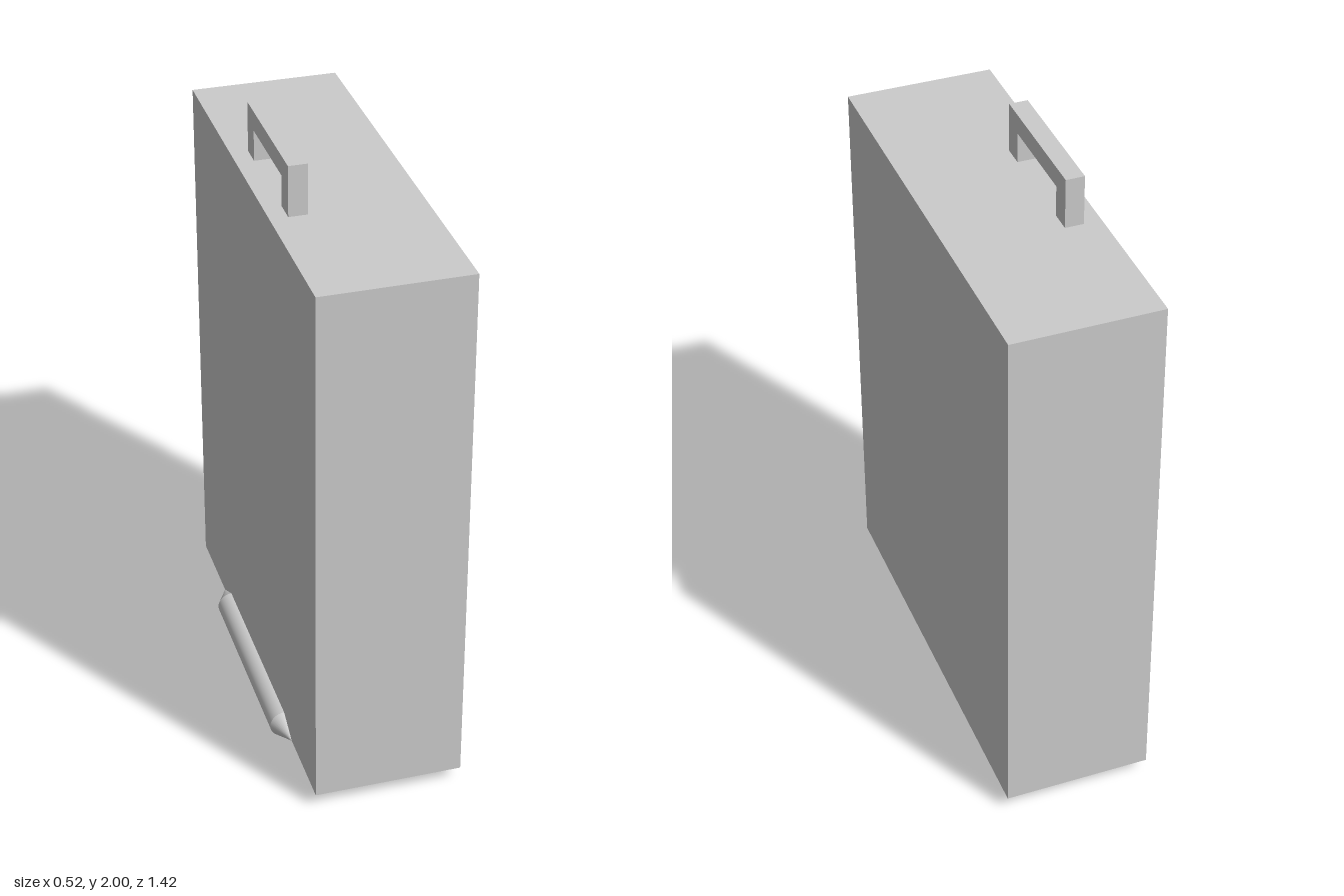
import * as THREE from 'three';

export function createModel() {
  const model = new THREE.Group();
  model.name = 'suitcase';
  const material = new THREE.MeshStandardMaterial({ color: 0xcccccc });

  const add = (name, geometry, x, y, z, parent = model) => {
    const mesh = new THREE.Mesh(geometry, material);
    mesh.name = name;
    mesh.position.set(x, y, z);
    parent.add(mesh);
    return mesh;
  };

  // Case body
  add('caseBody', new THREE.BoxGeometry(0.478, 1.788, 1.416), 0.022, 0.941, 0);

  // Bracket-shaped carry handle, extruded across x
  const outline = new THREE.Shape([
    [-0.228, 0], [-0.157, 0], [-0.157, 0.101], [0.157, 0.101],
    [0.157, 0], [0.228, 0], [0.228, 0.165], [-0.228, 0.165],
  ].map(([z, y]) => new THREE.Vector2(z, y)));
  const handle = new THREE.ExtrudeGeometry(outline, { depth: 0.06, bevelEnabled: false });
  handle.translate(0, 0, -0.03).rotateY(Math.PI / 2);
  add('handle', handle, -0.13, 1.835, 0);

  // Roller along the lower edge, with a pointed cone at each end
  const roller = new THREE.Group();
  roller.name = 'roller';
  roller.position.set(-0.217, 0.047, 0);
  model.add(roller);
  const radius = 0.047, half = 0.34, tip = 0.09;
  const barrel = new THREE.CylinderGeometry(radius, radius, half * 2, 32, 1, true);
  add('rollerBarrel', barrel.rotateX(Math.PI / 2), 0, 0, 0, roller);
  for (const side of [-1, 1]) {
    const cone = new THREE.ConeGeometry(radius, tip, 32, 1, true);
    cone.rotateX(side * Math.PI / 2);
    add('rollerTip', cone, 0, 0, side * (half + tip / 2), roller);
  }

  return model;
}
